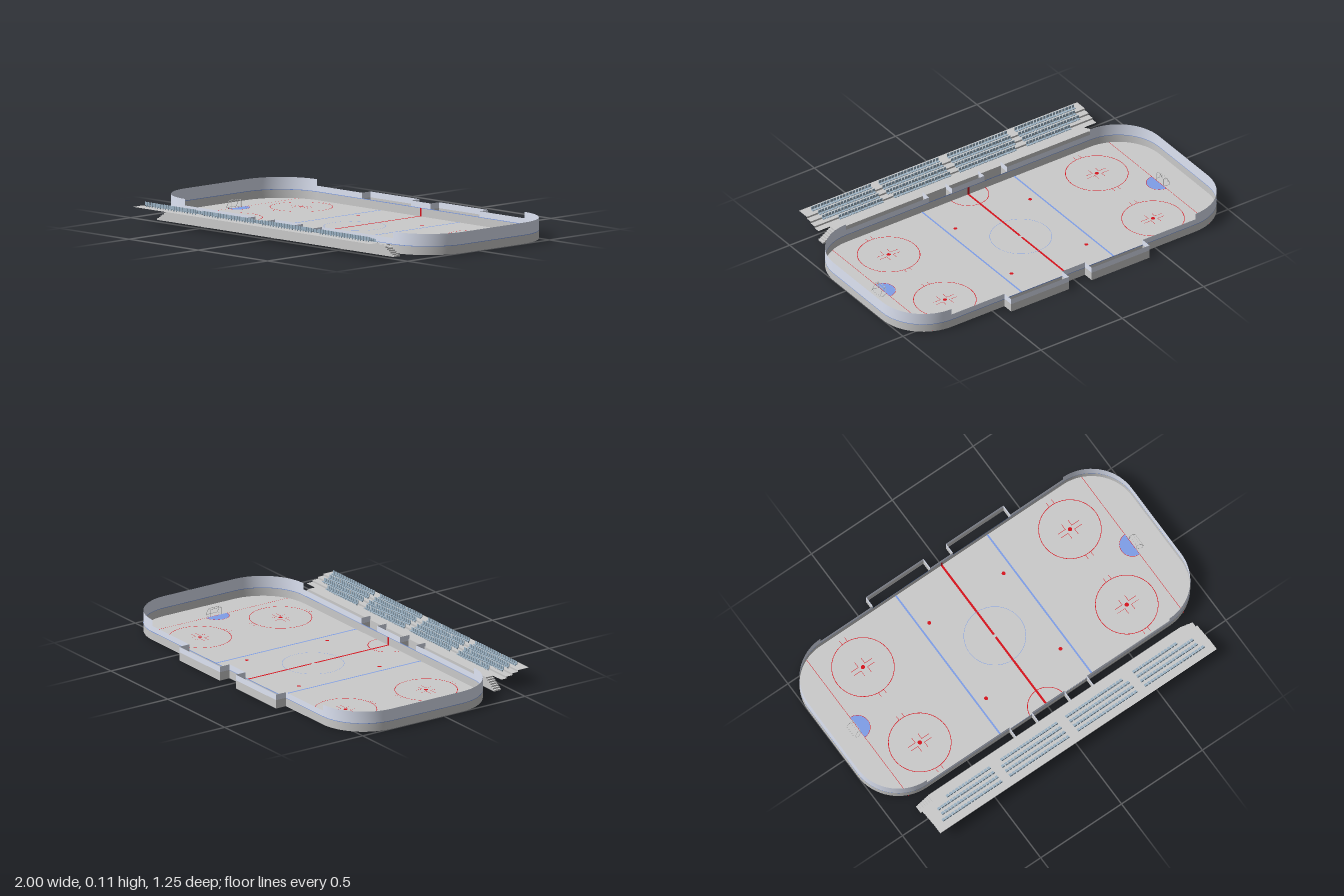
import * as THREE from 'three';
import { mergeGeometries } from 'three/addons/utils/BufferGeometryUtils.js';

const CZ = -0.105, HALF = 0.465, R = 0.25, BACK = CZ - HALF, FRONT = CZ + HALF;
const BOARD = 0.045, LOW = 0.075, HIGH = 0.108;

const mat = (color) => new THREE.MeshStandardMaterial({ color, side: THREE.DoubleSide });

export function createModel() {
  const group = new THREE.Group();
  const grey = mat(0xcccccc), glass = mat(0xdfe5f5), red = mat(0xd8121c);
  const blue = mat(0x7f9fe8), seatBlue = mat(0x9db4c6);

  const add = (name, geometries, material) => {
    const list = [].concat(geometries).map((g) => (g.index ? g.toNonIndexed() : g));
    const mesh = new THREE.Mesh(mergeGeometries(list), material);
    mesh.name = name;
    group.add(mesh);
    return mesh;
  };

  // thin quad strip between two matching rows of points
  const strip = (a, b) => {
    const pos = [], idx = [];
    a.forEach((p, i) => {
      pos.push(...p, ...b[i]);
      const k = i * 2;
      if (i) idx.push(k - 2, k, k - 1, k, k + 1, k - 1);
    });
    const g = new THREE.BufferGeometry();
    g.setAttribute('position', new THREE.Float32BufferAttribute(pos, 3));
    g.setAttribute('uv', new THREE.Float32BufferAttribute(new Array(pos.length / 3 * 2).fill(0), 2));
    g.setIndex(idx);
    g.computeVertexNormals();
    return g;
  };
  // standing wall along a path of [x, z]
  const wall = (path, y0, y1) =>
    strip(path.map(([x, z]) => [x, y0, z]), path.map(([x, z]) => [x, y1, z]));
  // wall with sharp corners: one piece per segment
  const cornerWall = (path, y0, y1) =>
    path.slice(1).map((p, i) => wall([path[i], p], y0, y1));

  // rounded rink end, from the back wall to the front wall
  const endPath = (s, inset = 0) => {
    const pts = [], N = 16, r = R - inset;
    for (const [zc, a0] of [[BACK + R, -Math.PI / 2], [FRONT - R, 0]])
      for (let i = 0; i <= N; i++) {
        const a = a0 + (i / N) * Math.PI / 2;
        pts.push([s * (1 - R + r * Math.cos(a)), zc + r * Math.sin(a)]);
      }
    return pts;
  };
  const right = endPath(1), left = endPath(-1);
  const outline = [...right, ...left.slice().reverse(), right[0]];

  // ice sheet
  const iceShape = new THREE.Shape(outline.map(([x, z]) => new THREE.Vector2(x, -z)));
  add('ice', new THREE.ShapeGeometry(iceShape).rotateX(-Math.PI / 2).translate(0, 0.001, 0), grey);

  // boards and glass
  add('boards', wall(outline, 0, BOARD), grey);
  add('endGlass', [wall(right, BOARD, HIGH), wall(left, BOARD, HIGH)], glass);
  const gaps = { [BACK]: [0.07, 0.425], [FRONT]: [0.1, 0.24] };
  const sideGlass = [];
  for (const z of [BACK, FRONT]) {
    const [a, b] = gaps[z];
    sideGlass.push(wall([[-a, z], [a, z]], BOARD, LOW));
    for (const s of [-1, 1]) sideGlass.push(wall([[s * b, z], [s * (1 - R), z]], BOARD, LOW));
  }
  add('sideGlass', sideGlass, glass);
  const trim = [];
  for (const inset of [0.001, -0.001]) {
    const r = endPath(1, inset), l = endPath(-1, inset);
    trim.push(wall([...r, ...l.reverse(), r[0]], BOARD - 0.002, BOARD + 0.001));
  }
  add('boardTrim', trim, blue);

  // player benches at the back, penalty boxes at the front
  const boxBoards = [], boxGlass = [];
  for (const s of [-1, 1]) {
    const paths = [[[s * 0.07, BACK], [s * 0.07, -0.63], [s * 0.425, -0.63], [s * 0.425, BACK]]];
    for (const x of [0.1, 0.24]) paths.push([[s * x, FRONT], [s * x, 0.418]]);
    for (const p of paths) {
      boxBoards.push(...cornerWall(p, 0, BOARD));
      boxGlass.push(...cornerWall(p, BOARD, LOW));
    }
  }
  add('boxBoards', boxBoards, grey);
  add('boxGlass', boxGlass, glass);

  // ice markings
  const flat = (g, x, z, y = 0.003) => g.rotateX(-Math.PI / 2).translate(x, y, z);
  const bar = (x, z, w, d) => flat(new THREE.PlaneGeometry(w, d), x, z);
  const ring = (x, z, r, a = 0, len = Math.PI * 2, w = 0.003) =>
    flat(new THREE.RingGeometry(r - w, r, 48, 1, a, len), x, z);
  const dot = (x, z, r) => flat(new THREE.CircleGeometry(r, 20), x, z);

  const reds = [], blues = [];
  for (const s of [-1, 1]) {
    reds.push(bar(0, CZ + s * (HALF + 0.008) / 2, 0.011, HALF - 0.008));
    reds.push(bar(s * 0.85, CZ, 0.002, 1.09 - 0.2 + 0.01));
    blues.push(bar(s * 0.283, CZ, 0.009, HALF * 2));
    const arc = s > 0 ? Math.PI / 2 : -Math.PI / 2;
    reds.push(ring(s * 0.85, CZ, 0.066, arc, Math.PI, 0.002));
    blues.push(flat(new THREE.CircleGeometry(0.064, 24, arc, Math.PI), s * 0.85, CZ));
    for (const t of [-1, 1]) {
      const z = CZ + t * 0.248, x = s * 0.64;
      reds.push(dot(s * 0.23, z, 0.01), dot(x, z, 0.011), ring(x, z, 0.16));
      for (const u of [-1, 1])
        for (const v of [-1, 1]) {
          reds.push(bar(x + u * 0.042, z + v * 0.012, 0.045, 0.002));
          reds.push(bar(x + u * 0.02, z + v * 0.028, 0.002, 0.034));
          reds.push(bar(x + u * 0.016, z + v * 0.17, 0.002, 0.026));
        }
    }
    // centre line carried up the boards
    reds.push(new THREE.PlaneGeometry(0.011, BOARD).translate(0, BOARD / 2, CZ + s * (HALF - 0.002)));
  }
  reds.push(ring(0, FRONT, 0.106, 0, Math.PI));
  blues.push(ring(0, CZ, 0.158, 0, Math.PI * 2, 0.002));
  add('redMarkings', reds, red);
  add('blueMarkings', blues, blue);

  // goals: bent pipe frame
  for (const s of [-1, 1]) {
    const h = 0.04, w = 0.032, pipes = [];
    const pipe = (...pts) => {
      for (let i = 1; i < pts.length; i++) {
        const c = new THREE.LineCurve3(new THREE.Vector3(...pts[i - 1]), new THREE.Vector3(...pts[i]));
        pipes.push(new THREE.TubeGeometry(c, 1, 0.0015, 6));
      }
    };
    const at = (x, y, z) => [s * x, y, CZ + z];
    pipe(at(0.855, 0, -w), at(0.855, h, -w), at(0.855, h, w), at(0.855, 0, w));
    pipe(at(0.855, 0.002, -w), at(0.875, 0.002, -0.043), at(0.892, 0.002, -0.036),
      at(0.892, 0.002, 0.036), at(0.875, 0.002, 0.043), at(0.855, 0.002, w));
    pipe(at(0.855, h, -w), at(0.873, h, -w), at(0.873, h, w), at(0.855, h, w));
    for (const t of [-w, w]) pipe(at(0.873, h, t), at(0.892, 0.002, t * 1.12));
    add(s > 0 ? 'leftGoal' : 'rightGoal', pipes, grey);
  }

  // grandstand: thin treads and risers with a walkway in front
  const X = 0.855, LAND = 0.77, Z0 = 0.413, Z1 = 0.455, Y = 0.055, RISE = 0.01, RUN = 0.034;
  const sheet = (x, a, b) => strip([[-x, ...a], [x, ...a]], [[-x, ...b], [x, ...b]]);
  const stand = [sheet(LAND, [0, Z0], [Y, Z0]), sheet(LAND, [Y, Z0], [Y, Z1]), sheet(LAND, [0, Z1], [Y, Z1])];
  for (let i = 0; i < 4; i++) {
    const z = Z1 + i * RUN, y = Y + i * RISE;
    stand.push(sheet(X, [y, z], [y, i < 3 ? z + RUN : 0.625]));
    if (i < 3) stand.push(sheet(X, [y, z + RUN], [y + RISE, z + RUN]));
  }
  add('grandstand', stand, grey);

  // stairs climbing to the walkway from both ends
  const steps = [], STEPS = 7;
  for (const s of [-1, 1])
    for (let i = 0; i < STEPS; i++) {
      const w = (X - LAND) / STEPS, h = (Y * (i + 1)) / STEPS;
      steps.push(new THREE.BoxGeometry(w, h, Z1 - Z0)
        .translate(s * (X - (i + 0.5) * w), h / 2, (Z0 + Z1) / 2));
    }
  add('standStairs', steps, grey);

  // four blocks of seats, front rows shorter towards the outside
  const seats = [], PITCH = 0.0195;
  const trims = [[0.1, 0.03, 0.02, 0], [0.03, 0.01, 0.01, 0]];
  const blocks = [[0.44, 0.825], [0.025, 0.41]];
  for (const s of [-1, 1])
    blocks.forEach(([a, b], k) => {
      for (let row = 0; row < 4; row++) {
        const y = Y + row * RISE, z = Z1 + row * RUN + 0.02;
        const count = Math.floor((b - trims[k][row] - a) / PITCH);
        for (let i = 0; i < count; i++) {
          const x = s * (a + (i + 0.5) * PITCH);
          seats.push(new THREE.BoxGeometry(0.015, 0.003, 0.014).translate(x, y + 0.01, z));
          seats.push(new THREE.BoxGeometry(0.015, 0.016, 0.003).translate(x, y + 0.019, z + 0.008));
          seats.push(new THREE.BoxGeometry(0.004, 0.01, 0.004).translate(x, y + 0.005, z + 0.004));
        }
      }
    });
  add('seats', seats, seatBlue);

  return group;
}
